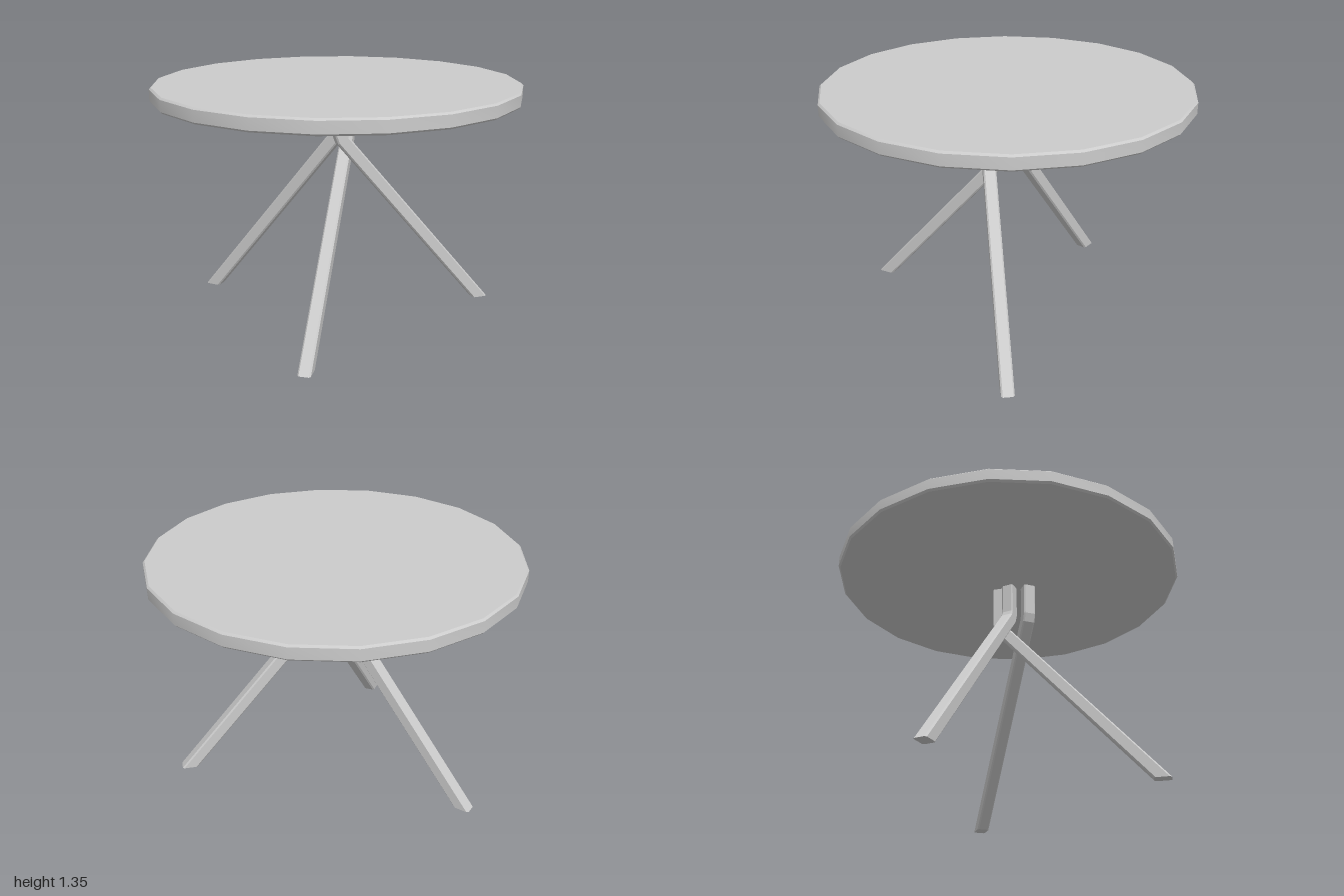
import * as THREE from 'three';
import { toCreasedNormals } from 'three/addons/utils/BufferGeometryUtils.js';

const TOP_UNDERSIDE = 1.265;
const W = 0.035; // half width of a leg bar
const C = 0.008; // chamfer of its edges

// Chamfered square section, [across, along the lean]
const SECTION = [
  [W, C - W], [W, W - C], [W - C, W], [C - W, W],
  [-W, W - C], [-W, C - W], [C - W, -W], [W - C, -W],
];

// Bar that drops straight from the top, bends, and leans out to a level-cut foot
function legGeometry({ top, bendY, foot }) {
  const head = new THREE.Vector3(top[0], TOP_UNDERSIDE + 0.005, top[1]);
  const end = new THREE.Vector3(...foot);
  const lean = new THREE.Vector3(end.x - head.x, 0, end.z - head.z);
  const reach = lean.length();
  lean.normalize();
  const up = new THREE.Vector3(0, 1, 0);
  const side = new THREE.Vector3().crossVectors(up, lean);
  const angle = Math.atan2(reach, bendY - end.y);

  const bendStart = new THREE.Vector3(head.x, bendY + 0.02, head.z);
  const bendEnd = bendStart.clone()
    .addScaledVector(lean, 0.04 * Math.sin(angle / 2))
    .addScaledVector(up, -0.04 * Math.cos(angle / 2));
  const miter = 1 / Math.cos(angle / 4);
  const rings = [
    { p: head, tilt: 0, scale: 1 },
    { p: bendStart, tilt: angle / 4, scale: miter },
    { p: bendEnd, tilt: angle * 3 / 4, scale: miter },
    { p: end, tilt: 0, scale: 1 / Math.cos(angle) },
  ];

  const positions = [];
  for (const { p, tilt, scale } of rings) {
    const across = lean.clone().multiplyScalar(Math.cos(tilt)).addScaledVector(up, Math.sin(tilt));
    for (const [u, v] of SECTION) {
      const q = p.clone().addScaledVector(side, u).addScaledVector(across, v * scale);
      positions.push(q.x, q.y, q.z);
    }
  }
  const n = SECTION.length;
  const index = [];
  for (let r = 0; r < rings.length - 1; r++) {
    for (let i = 0; i < n; i++) {
      const a = r * n + i, b = r * n + (i + 1) % n;
      index.push(a, b, a + n, b, b + n, a + n);
    }
  }
  // End caps
  const last = (rings.length - 1) * n;
  for (let i = 1; i < n - 1; i++) {
    index.push(0, i + 1, i, last, last + i, last + i + 1);
  }
  // Make the winding face outward
  const p0 = new THREE.Vector3().fromArray(positions, 0);
  const e1 = new THREE.Vector3().fromArray(positions, 3).sub(p0);
  const e2 = new THREE.Vector3().fromArray(positions, 3 * n).sub(p0);
  if (e1.cross(e2).dot(p0.clone().sub(head)) < 0) {
    for (let i = 0; i < index.length; i += 3) {
      [index[i + 1], index[i + 2]] = [index[i + 2], index[i + 1]];
    }
  }
  const geometry = new THREE.BufferGeometry();
  geometry.setAttribute('position', new THREE.Float32BufferAttribute(positions, 3));
  geometry.setIndex(index);
  return toCreasedNormals(geometry, 0.2);
}

export function createModel() {
  const group = new THREE.Group();
  group.name = 'roundTable';
  const material = new THREE.MeshStandardMaterial({ color: 0xcccccc });
  const add = (name, geometry) => {
    const mesh = new THREE.Mesh(geometry, material);
    mesh.name = name;
    group.add(mesh);
  };

  // Twenty-sided top with chamfered rims
  const profile = [
    [0, TOP_UNDERSIDE], [0.99, TOP_UNDERSIDE], [1, 1.275],
    [1, 1.335], [0.99, 1.345], [0, 1.345],
  ].map(([r, y]) => new THREE.Vector2(r, y));
  add('tableTop', toCreasedNormals(new THREE.LatheGeometry(profile, 20), 0.4));

  // Three bent legs crossing under the centre
  const legs = {
    frontLeftLeg: { top: [-0.078, 0.088], bendY: 1.06, foot: [0.7, 0, 0.532] },
    frontRightLeg: { top: [0.078, 0.012], bendY: 1.01, foot: [-0.705, 0.015, 0.412] },
    backLeg: { top: [0.004, 0.015], bendY: 1.06, foot: [-0.226, 0, -0.822] },
  };
  for (const [name, leg] of Object.entries(legs)) add(name, legGeometry(leg));
  return group;
}
